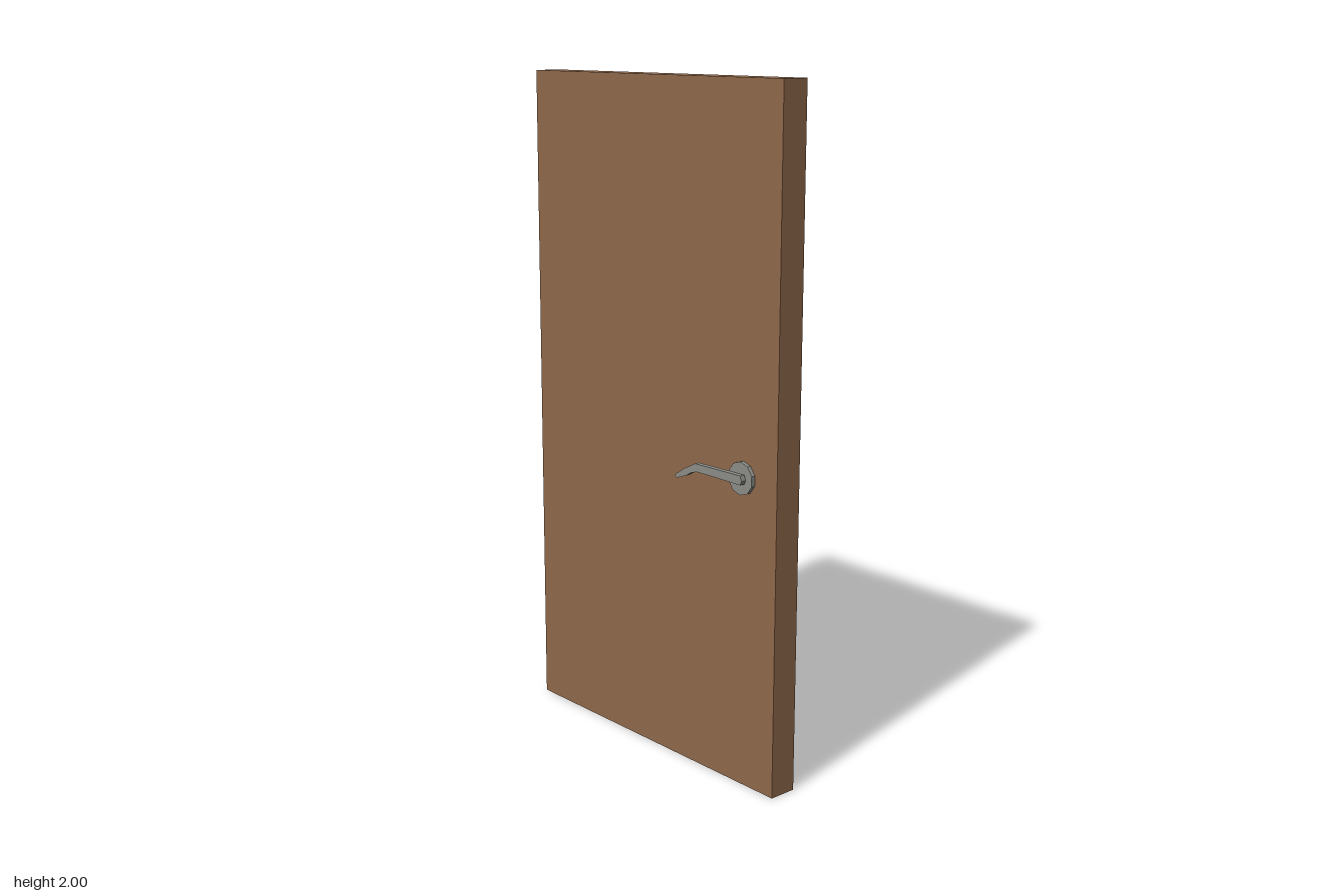
import * as THREE from 'three';

export function createModel() {
  const wood = new THREE.MeshStandardMaterial({ name: 'brown wood', color: 0x8f684b, flatShading: true });
  const metal = new THREE.MeshStandardMaterial({ name: 'grey metal', color: 0x8c8c88, flatShading: true });
  const HALF = 0.043; // half the door thickness

  const add = (parent, name, geometry, material, x = 0, y = 0, z = 0) => {
    const mesh = new THREE.Mesh(geometry, material);
    mesh.name = name;
    mesh.position.set(x, y, z);
    parent.add(mesh);
    return mesh;
  };

  const model = new THREE.Group();
  model.name = 'door';

  // Slightly opened door leaf
  const leaf = new THREE.Group();
  leaf.name = 'doorLeaf';
  leaf.position.z = -0.0115;
  leaf.rotation.y = THREE.MathUtils.degToRad(-7);
  model.add(leaf);
  add(leaf, 'panel', new THREE.BoxGeometry(1.05, 2, HALF * 2), wood, 0, 1, 0);

  // Bent lever outline, drooping toward its tip
  const leverShape = new THREE.Shape([
    [0.143, 0.876], [0.152, 0.871], [0.19, 0.885], [0.212, 0.898], [0.235, 0.905],
    [0.3, 0.905], [0.413, 0.903], [0.418, 0.915], [0.412, 0.93],
    [0.3, 0.929], [0.228, 0.928], [0.185, 0.906], [0.15, 0.884],
  ].map(([x, y]) => new THREE.Vector2(x, y)));

  // Rosette, neck and lever on one face; side is +1 at the front, -1 at the back
  const addHandle = (name, side, leverInner) => {
    const handle = new THREE.Group();
    handle.name = name;
    leaf.add(handle);
    const disc = (part, radius, from, to, sides) => {
      const g = new THREE.CylinderGeometry(radius, radius, to - from, sides).rotateX(Math.PI / 2);
      add(handle, part, g, metal, 0.393, 0.915, side * (from + to) / 2);
    };
    disc('rosette', 0.048, HALF - 0.005, 0.055, 10);
    disc('neck', 0.012, 0.05, leverInner + 0.005, 8);
    const depth = 0.016;
    const lever = new THREE.ExtrudeGeometry(leverShape, { depth, bevelEnabled: false });
    add(handle, 'lever', lever, metal, 0, 0, side > 0 ? leverInner : -leverInner - depth);
  };
  addHandle('frontHandle', 1, 0.058);
  addHandle('backHandle', -1, 0.046);

  return model;
}
